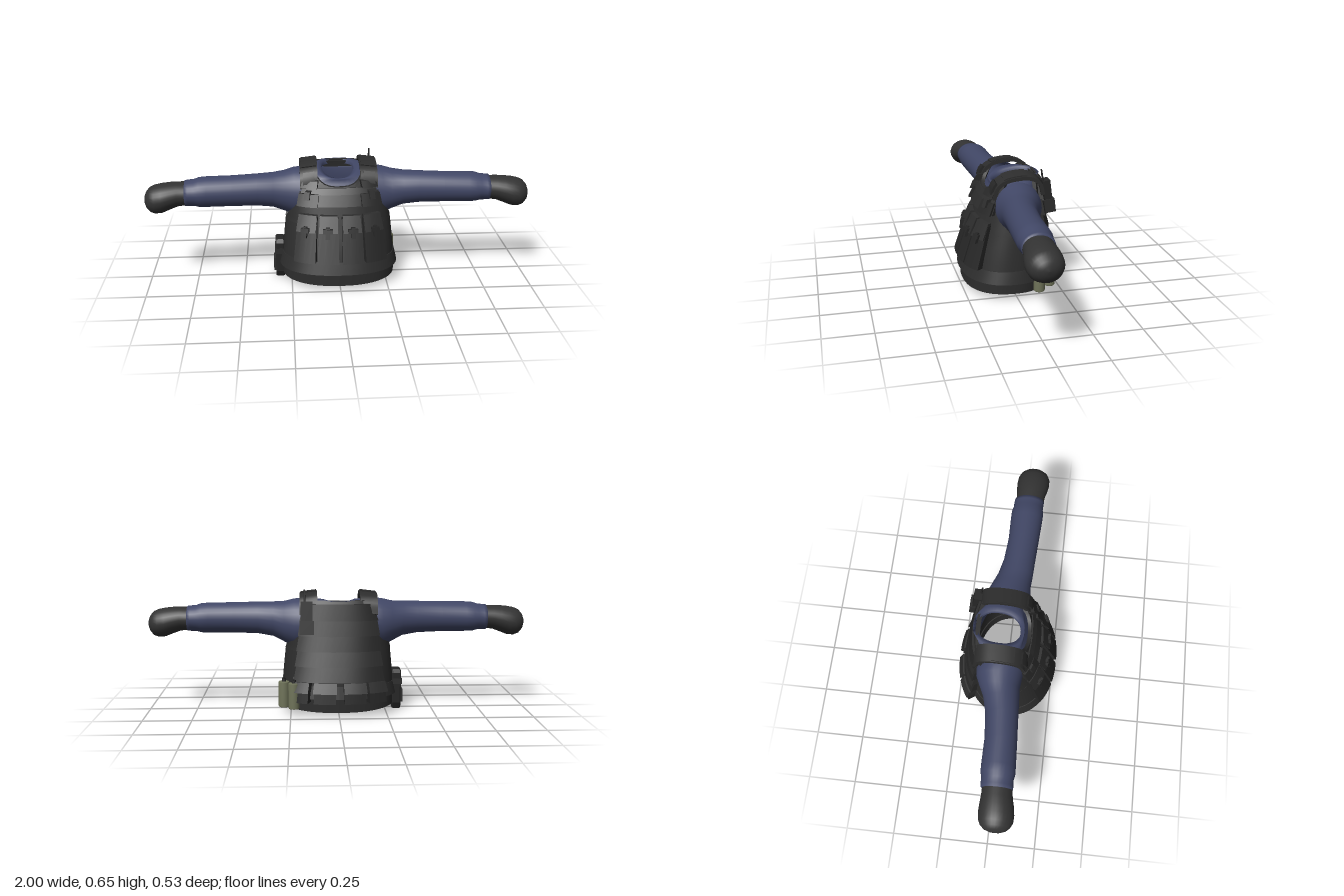
import * as THREE from 'three';

const mat = (name, color, side = THREE.FrontSide) => {
  const m = new THREE.MeshStandardMaterial({ color, side });
  m.name = name;
  return m;
};

// Torso sections: height, half width, front z, back z
const BODY = [
  [0, 0.293, 0.235, -0.19], [0.1, 0.293, 0.235, -0.195], [0.2, 0.284, 0.215, -0.19],
  [0.3, 0.274, 0.185, -0.18], [0.4, 0.262, 0.155, -0.17], [0.5, 0.25, 0.125, -0.16],
  [0.56, 0.23, 0.1, -0.155], [0.63, 0.2, 0.05, -0.14],
];
function section(y) {
  let i = 0;
  while (i < BODY.length - 2 && y > BODY[i + 1][0]) i++;
  const a = BODY[i], b = BODY[i + 1], k = (y - a[0]) / (b[0] - a[0]);
  return a.map((v, j) => v + (b[j] - v) * k);
}
const pow = (v, p) => Math.sign(v) * Math.abs(v) ** p;

// Point on a rounded section; angle 0 is the front, PI/2 the left side
function onSection([y, w, zf, zb], th, off = 0) {
  const s = Math.sin(th), c = Math.cos(th), d = (zf - zb) / 2;
  const n = new THREE.Vector2(pow(s, 1.13) / w, pow(c, 1.13) / d).normalize();
  return new THREE.Vector3(w * pow(s, 0.87) + n.x * off, y, (zf + zb) / 2 + d * pow(c, 0.87) + n.y * off);
}

function deform(geo, fn) {
  const p = geo.attributes.position;
  for (let i = 0; i < p.count; i++) {
    const v = fn(p.getX(i) + 0.5, p.getY(i) + 0.5, p.getZ(i) + 0.5);
    p.setXYZ(i, v.x, v.y, v.z);
  }
  geo.computeVertexNormals();
  return geo;
}

// Slab wrapped on the torso; out = [inner, outer at top, outer at bottom]
function panel(t0, t1, y0, y1, out, { spread = () => 1, top = () => y1, bottom = () => y0, ny = 1 } = {}) {
  const geo = new THREE.BoxGeometry(1, 1, 1, Math.max(2, Math.ceil((t1 - t0) / 0.11)), ny, 1);
  const mid = (t0 + t1) / 2;
  return deform(geo, (u, v, k) => {
    const th = mid + (u - 0.5) * (t1 - t0) * spread(v);
    const lo = bottom(th), y = lo + (top(th) - lo) * v;
    const outer = out[2] + (out[1] - out[2]) * v;
    return onSection(section(y), th, k < 0.5 ? out[0] : outer);
  });
}

// Smooth skin through closed rings of points
function loft(rings) {
  const n = rings[0].length, idx = [];
  for (let r = 0; r < rings.length - 1; r++) for (let i = 0; i < n; i++) {
    const a = r * n + i, b = r * n + (i + 1) % n;
    idx.push(a, b, b + n, a, b + n, a + n);
  }
  const g = new THREE.BufferGeometry().setFromPoints(rings.flat());
  g.setIndex(idx);
  g.computeVertexNormals();
  return g;
}
const around = (n, fn) => Array.from({ length: n }, (_, i) => fn(i / n * Math.PI * 2));

// Limb along x from rows of x, centre y, radius y, centre z, radius z
const limb = (rows, s) => loft(rows.map(([x, cy, ry, cz, rz]) => around(28, a =>
  new THREE.Vector3(s * x, cy + ry * Math.cos(a), cz + s * rz * Math.sin(a)))));

export function createModel() {
  const root = new THREE.Group();
  const shirt = mat('navy shirt', 0x414766, THREE.DoubleSide);
  const vest = mat('vest black', 0x2d2d2d);
  const pouch = mat('pouch black', 0x272727);
  const glove = mat('glove grey', 0x333333, THREE.DoubleSide);
  const olive = mat('olive canister', 0x70745a);
  const add = (name, geo, m, pos, rot) => {
    const o = new THREE.Mesh(geo, m);
    o.name = name;
    if (pos) o.position.set(...pos);
    if (rot) o.rotation.set(...rot);
    root.add(o);
    return o;
  };
  const box = (x, y, z) => new THREE.BoxGeometry(x, y, z);

  // Shirt body, closing in to a collar that dips at the front
  const shirtRows = [0.3, 0.4, 0.5].map(y => [section(y), -0.014, 0]).concat([
    [section(0.56), -0.014, 0.03], [[0.598, 0.16, 0.086, -0.152], 0, 0.045],
    [[0.606, 0.108, 0.085, -0.175], 0, 0.045], [[0.603, 0.085, 0.068, -0.155], 0, 0.045],
    [[0.58, 0.083, 0.066, -0.152], 0, 0.045]]);
  add('shirtBody', loft(shirtRows.map(([sec, off, drop]) => around(48, a => {
    const p = onSection(sec, a, off);
    p.y -= drop * (0.5 + 0.5 * Math.cos(a)) ** 2 + (Math.cos(a) < 0 ? 0.012 * Math.cos(a) ** 2 * (drop > 0) : 0);
    return p;
  }))), shirt);

  // Sleeves and closed gloves
  for (const s of [1, -1]) {
    add('sleeve', limb([
      [0.19, 0.465, 0.131, -0.02, 0.12], [0.23, 0.465, 0.127, -0.02, 0.116], [0.28, 0.471, 0.108, -0.012, 0.102],
      [0.34, 0.483, 0.091, 0.004, 0.091], [0.42, 0.488, 0.084, 0.016, 0.083], [0.55, 0.488, 0.08, 0.026, 0.081],
      [0.68, 0.487, 0.079, 0.029, 0.085], [0.72, 0.486, 0.077, 0.03, 0.085], [0.745, 0.485, 0.069, 0.031, 0.079],
      [0.775, 0.484, 0.067, 0.032, 0.08], [0.792, 0.483, 0.066, 0.033, 0.079], [0.795, 0.483, 0.05, 0.033, 0.06]], s), shirt);
    add('glove', limb([
      [0.78, 0.483, 0.06, 0.035, 0.074], [0.83, 0.481, 0.063, 0.038, 0.077], [0.87, 0.473, 0.07, 0.041, 0.084],
      [0.91, 0.463, 0.076, 0.043, 0.088], [0.945, 0.458, 0.074, 0.044, 0.085], [0.97, 0.457, 0.064, 0.044, 0.073],
      [0.988, 0.457, 0.044, 0.044, 0.052], [0.997, 0.457, 0.022, 0.044, 0.027], [1, 0.457, 0, 0.044, 0]], s), glove);
  }

  // Vest: belt, skirt band, body and cut-away chest and back
  const PI = Math.PI;
  add('belt', panel(-PI, PI, 0.025, 0.1, [-0.016, 0.003, 0.003],
    { bottom: th => 0.021 + 0.013 * Math.sin(th) ** 2 + 0.004 * Math.cos(th) }), vest);
  add('vestSkirt', panel(-PI, PI, 0.091, 0.156, [-0.01, 0.01, 0.02]), vest);
  add('vestBody', panel(-PI, PI, 0.15, 0.335, [-0.012, 0.006, 0.006], { ny: 3 }), vest);
  const armhole = v => 1 + 0.66 * (1 - v) ** 3;
  const neckline = th => 0.525 + 0.06 * Math.min(1, Math.abs(Math.sin(th)) / 0.5) ** 2.5;
  add('vestChest', panel(-0.93, 0.93, 0.333, 0.58, [-0.012, 0.006, 0.006], { spread: armhole, top: neckline, ny: 10 }), vest);
  add('vestBack', panel(PI - 0.93, PI + 0.93, 0.333, 0.59, [-0.012, 0.008, 0.008], { spread: armhole, ny: 10 }), vest);

  // Shoulder straps with pads and buckles
  const path = new THREE.CatmullRomCurve3([[0.52, 0.1], [0.575, 0.082], [0.605, 0.045], [0.62, -0.03],
    [0.616, -0.09], [0.59, -0.132], [0.53, -0.148]].map(([y, z]) => new THREE.Vector3(0, y, z)));
  const strap = (s, a, b, x0, x1, thick) => deform(new THREE.BoxGeometry(1, 1, 1, 2, Math.ceil((b - a) * 20), 1), (u, v, k) => {
    const t = a + (b - a) * v, p = path.getPointAt(t), d = path.getTangentAt(t);
    const x = s > 0 ? x0 + (x1 - x0) * u : -x1 + (x1 - x0) * u;
    const h = -0.006 + k * thick;
    return new THREE.Vector3(x, p.y - d.z * h - 0.12 * (Math.abs(x) - 0.13), p.z + d.y * h);
  });
  for (const s of [1, -1]) {
    add('shoulderStrap', strap(s, 0, 1, 0.11, 0.2, 0.019), vest);
    add('shoulderPad', strap(s, 0.3, 0.62, 0.115, 0.195, 0.025), vest);
    add('strapBuckle', strap(s, 0.06, 0.2, 0.125, 0.185, 0.032), pouch);
  }

  // Magazine pouches with flaps and clips
  for (const [a, b] of [[-0.8, -0.38], [-0.34, -0.02], [0.02, 0.34], [0.38, 0.8]]) {
    const m = (a + b) / 2;
    add('magazinePouch', panel(a, b, 0.157, 0.38, [0, 0.03, 0.043]), pouch);
    add('pouchFlap', panel(a + 0.01, b - 0.01, 0.31, 0.392, [0, 0.028, 0.043]), vest);
    add('pouchStrap', panel(m - 0.035, m + 0.035, 0.285, 0.34, [0.02, 0.05, 0.05]), pouch);
    add('pouchClip', panel(m - 0.08, m + 0.08, 0.312, 0.333, [0.02, 0.053, 0.053]), pouch);
  }

  // Chest webbing and small chest pouches
  add('chestBand', panel(-0.85, 0.85, 0.435, 0.5, [0, 0.015, 0.028]), vest);
  add('chestBandUpper', panel(-0.8, 0.8, 0.492, 0.522, [0, 0.012, 0.02]), vest);
  for (const s of [1, -1]) {
    const c = s * 0.6;
    add('chestPouch', panel(c - 0.23, c + 0.23, 0.435, 0.495, [0, 0.03, 0.042]), pouch);
    add('chestPouchFlap', panel(c - 0.19, c + 0.19, 0.525, 0.56, [0, 0.035, 0.042]), pouch);
    add('chestClip', panel(c - 0.06, c + 0.06, 0.47, 0.51, [0, 0.045, 0.048]), vest);
  }

  // Overlapping back bands
  for (let i = 0; i < 5; i++) {
    const y = 0.182 + i * 0.078;
    add('backBand', panel(PI - 0.78, PI + 0.78, y, y + 0.084, [0, 0.026, 0.044 - i * 0.002]), i % 2 ? vest : pouch);
  }
  add('backYoke', panel(PI - 0.75, PI + 0.75, 0.56, 0.596, [0, 0.012, 0.018]), vest);

  // Belt pouches at the back
  for (const c of [-0.62, -0.2, 0.22, 0.6]) {
    add('beltPouch', panel(PI + c - 0.16, PI + c + 0.16, 0.075, 0.178, [0, 0.05, 0.06]), pouch);
    add('beltPouchFlap', panel(PI + c - 0.17, PI + c + 0.17, 0.13, 0.182, [0, 0.052, 0.07]), vest);
  }

  // Radio with aerial behind the left shoulder
  add('radio', box(0.06, 0.15, 0.04), pouch, [0.165, 0.52, -0.178], [0.13, 0, 0]);
  add('radioPouch', box(0.072, 0.07, 0.055), vest, [0.165, 0.462, -0.188], [0.13, 0, 0]);
  add('aerial', new THREE.CylinderGeometry(0.004, 0.006, 0.075, 8), pouch, [0.176, 0.615, -0.151], [0.14, 0, 0]);

  // Canisters with pull rings on the left hip
  for (const [x, y, z] of [[0.285, 0.035, -0.113], [0.233, 0.04, -0.181]]) {
    const profile = [[0, 0], [0.025, 0], [0.029, 0.005], [0.029, 0.13], [0.026, 0.135], [0, 0.135]];
    add('canister', new THREE.LatheGeometry(profile.map(p => new THREE.Vector2(...p)), 24), olive, [x, y, z]);
    add('canisterCap', new THREE.CylinderGeometry(0.01, 0.012, 0.018, 12), pouch, [x, y + 0.142, z]);
    add('pullRing', new THREE.TorusGeometry(0.012, 0.0025, 6, 16), pouch, [x, y + 0.157, z], [0, PI / 2, 0]);
  }

  // Hip holster on the right side
  const outline = new THREE.Shape([[-0.03, 0], [0.03, 0], [0.045, 0.03], [0.05, 0.19], [0.035, 0.205],
    [-0.035, 0.205], [-0.05, 0.19], [-0.045, 0.03]].map(p => new THREE.Vector2(...p)));
  const shell = new THREE.ExtrudeGeometry(outline, { depth: 0.035, bevelSize: 0.004, bevelThickness: 0.006, bevelSegments: 1 });
  add('holster', shell, pouch, [-0.293, 0.004, 0], [0, -PI / 2, 0]);
  add('holsterStrap', box(0.05, 0.03, 0.108), vest, [-0.314, 0.15, 0]);
  add('holsterFlap', box(0.05, 0.07, 0.07), vest, [-0.32, 0.07, 0]);
  return root;
}
